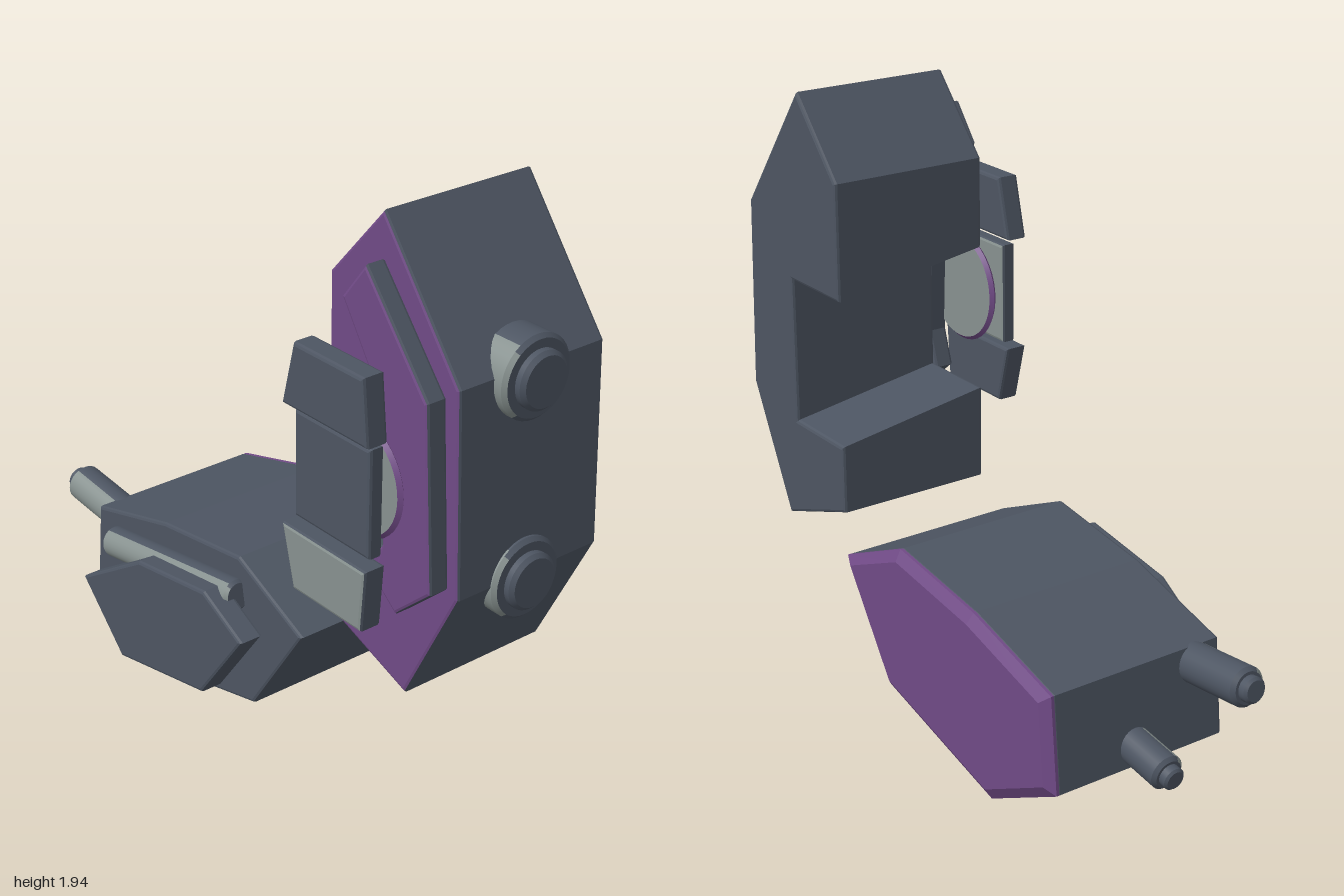
import * as THREE from 'three';

const material = (name, color) => {
  const m = new THREE.MeshStandardMaterial({ color });
  m.name = name;
  return m;
};

export function createModel() {
  const model = new THREE.Group();
  const slate = material('slate', 0x4d5562);
  const purple = material('purple', 0x704a86);
  const grey = material('light grey', 0x87918f);
  const palette = [slate, purple, grey];
  const SLATE = 0, PURPLE = 1, GREY = 2;

  // Adds a mesh whose faces are coloured by a rule on the face normal
  function add(name, geometry, pick) {
    const geo = geometry.index ? geometry.toNonIndexed() : geometry;
    const p = geo.attributes.position;
    const tri = new THREE.Triangle();
    const n = new THREE.Vector3();
    geo.clearGroups();
    let start = 0, current = -1;
    for (let i = 0; i < p.count; i += 3) {
      tri.setFromAttributeAndIndices(p, i, i + 1, i + 2);
      const index = pick(tri.getNormal(n));
      if (index !== current) {
        if (i > start) geo.addGroup(start, i - start, current);
        start = i;
        current = index;
      }
    }
    geo.addGroup(start, p.count - start, current);
    const mesh = new THREE.Mesh(geo, palette);
    mesh.name = name;
    model.add(mesh);
    return mesh;
  }

  // Outline in the front plane, extruded from z0 to z1 with softened edges
  function slab(points, z0, z1, bevel = 0.01) {
    const shape = new THREE.Shape(points.map(([x, y]) => new THREE.Vector2(x, y)));
    const geo = new THREE.ExtrudeGeometry(shape, {
      depth: z1 - z0 - 2 * bevel, bevelEnabled: true, bevelThickness: bevel,
      bevelSize: bevel, bevelOffset: -bevel, bevelSegments: 2,
    });
    return geo.translate(0, 0, z0 + bevel);
  }

  // Cylinder between two points
  function rod(a, b, r, sides = 28) {
    const from = new THREE.Vector3(...a), to = new THREE.Vector3(...b);
    const dir = to.clone().sub(from);
    const e = Math.min(0.012, r * 0.2), half = dir.length() / 2;
    const profile = [[0, -half], [r - e, -half], [r - e, -half], [r, -half + e], [r, -half + e],
      [r, half - e], [r, half - e], [r - e, half], [r - e, half], [0, half]];
    const geo = new THREE.LatheGeometry(profile.map(([x, y]) => new THREE.Vector2(x, y)), sides);
    geo.applyQuaternion(new THREE.Quaternion().setFromUnitVectors(
      new THREE.Vector3(0, 1, 0), dir.normalize()));
    const mid = from.add(to).multiplyScalar(0.5);
    return geo.translate(mid.x, mid.y, mid.z);
  }

  const plain = () => SLATE;
  const purpleFront = (n) => (n.z > 0.9 ? PURPLE : SLATE);
  const greyFront = (n) => (n.z > 0.45 ? GREY : SLATE);

  // Lower body with a purple back
  const lower = [[-0.76, 0.17], [-0.73, 0.48], [-0.35, 0.585], [0.04, 0.64],
    [0.35, 0.5], [0.11, 0.14], [-0.44, 0]];
  add('lowerBody', slab(lower, -0.375, 0.24), plain);

  // Back cover: outline tapering inward toward the back
  const cover = new THREE.ExtrudeGeometry(
    new THREE.Shape(lower.map(([x, y]) => new THREE.Vector2(x, y))),
    { depth: 0.01, bevelThickness: 0.022, bevelSize: 0.035, bevelOffset: -0.035, bevelSegments: 1 });
  const cp = cover.attributes.position;
  for (let i = 0; i < cp.count; i++) if (cp.getZ(i) > 0.011) cp.setZ(i, 0.011);
  cover.translate(0, 0, -0.378);
  add('lowerBackCover', cover, () => PURPLE);

  // Armour plate and the rod behind it
  add('lowerFrontPlate', slab([[-0.67, 0.28], [-0.34, 0.49], [0.01, 0.545], [0.2, 0.45],
    [-0.01, 0.165], [-0.46, 0.07]], 0.27, 0.355), plain);
  add('frontRod', rod([-0.62, 0.405, 0.258], [0.065, 0.52, 0.258], 0.052), greyFront);

  // Two barrels with narrower tips
  add('upperBarrel', rod([-0.7, 0.42, 0.15], [-0.97, 0.445, 0.15], 0.063), greyFront);
  add('upperBarrelTip', rod([-0.95, 0.443, 0.15], [-1, 0.448, 0.15], 0.041), plain);
  add('lowerBarrel', rod([-0.7, 0.24, -0.085], [-0.905, 0.21, -0.085], 0.056), greyFront);
  add('lowerBarrelTip', rod([-0.89, 0.212, -0.085], [-0.935, 0.205, -0.085], 0.036), plain);

  // Upright body: C outline whose notch drops toward the back
  const upright = slab([[0.4, 1.7], [0.615, 1.94], [0.93, 1.53], [0.955, 0.9], [0.75, 0.495],
    [0.4, 0.62], [0.4, 0.93], [0.68, 0.93], [0.68, 1.41], [0.4, 1.41]], -0.355, 0.18);
  const up = upright.attributes.position;
  for (let i = 0; i < up.count; i++) {
    const x = up.getX(i), y = up.getY(i);
    if (x < 0.72 && y > 0.88 && y < 1.46) {
      up.setY(i, y - 0.085 * (0.18 - up.getZ(i)) / 0.535);
    }
  }
  upright.computeVertexNormals();
  add('uprightBody', upright, purpleFront);

  // Raised curved strip on the upright front
  add('uprightFrontStrip', slab([[0.555, 1.7], [0.65, 1.82], [0.905, 1.51], [0.94, 0.945],
    [0.8, 0.82], [0.7, 0.9], [0.74, 1.02], [0.72, 1.45]], 0.2, 0.27), purpleFront);

  // Disc behind the front blocks
  add('frontDisc', rod([0.645, 1.195, 0.262], [0.645, 1.195, 0.286], 0.185, 40),
    (n) => (Math.abs(n.z) > 0.9 ? GREY : PURPLE));

  // Three front blocks
  add('upperBlock', slab([[0.46, 1.385], [0.82, 1.385], [0.8, 1.585], [0.51, 1.585]],
    0.325, 0.4), plain);
  add('middleBlock', slab([[0.48, 1.03], [0.8, 1.03], [0.8, 1.365], [0.48, 1.365]], 0.32, 0.37),
    (n) => (n.z < -0.9 ? GREY : SLATE));
  add('lowerBlock', slab([[0.46, 1.01], [0.82, 1.01], [0.805, 0.815], [0.51, 0.815]],
    0.325, 0.4), (n) => (n.z > 0.9 ? GREY : SLATE));

  // Side bolts, each with a smaller cap
  for (const [name, y] of [['upper', 1.51], ['lower', 0.888]]) {
    add(name + 'Bolt', rod([0.85, y, -0.07], [0.97, y, -0.07], 0.127, 36), greyFront);
    add(name + 'BoltCap', rod([0.95, y, -0.07], [1, y, -0.07], 0.088, 36), plain);
  }

  return model;
}
